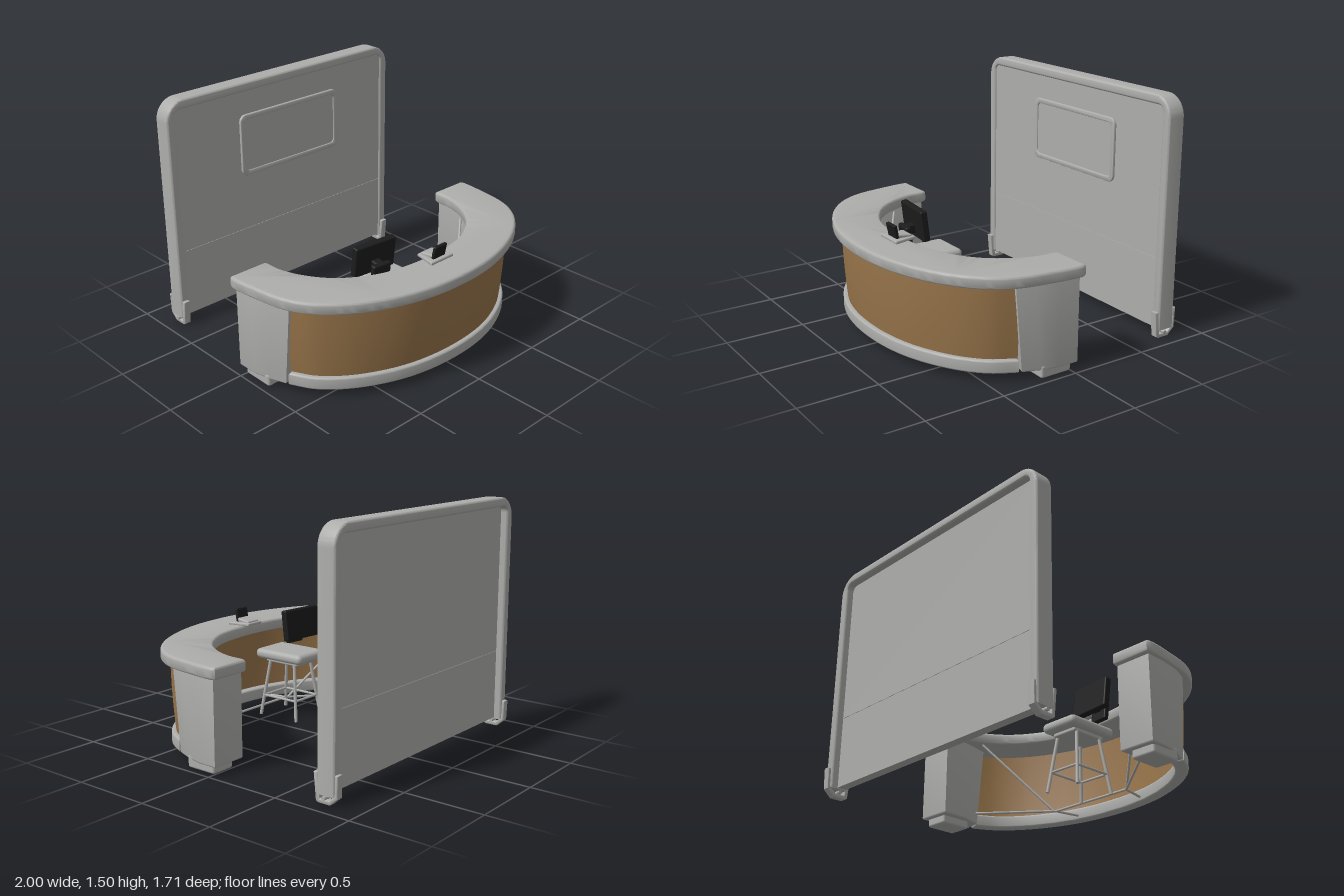
import * as THREE from 'three';
import { toCreasedNormals } from 'three/addons/utils/BufferGeometryUtils.js';
import { RoundedBoxGeometry } from 'three/addons/geometries/RoundedBoxGeometry.js';

const mat = (name, color) => Object.assign(new THREE.MeshStandardMaterial({ color }), { name });

export function createModel() {
  const root = new THREE.Group();
  root.name = 'receptionDesk';
  const grey = mat('lightGrey', 0xadadab);
  const wood = mat('woodBrown', 0x97744a);
  wood.side = THREE.DoubleSide;
  const black = mat('black', 0x1c1c1c);

  const add = (name, geo, material, parent = root) => {
    const m = new THREE.Mesh(geo, material);
    m.name = name;
    parent.add(m);
    return m;
  };
  const group = (name) => {
    const g = new THREE.Group();
    g.name = name;
    root.add(g);
    return g;
  };
  const box = (name, [w, h, d], [x, y, z], material, parent, r = 0.01) => {
    const m = add(name, new RoundedBoxGeometry(w, h, d, 3, r), material, parent);
    m.position.set(x, y, z);
    return m;
  };
  const rod = (name, a, b, r, parent) => {
    const p = new THREE.Vector3(...a), q = new THREE.Vector3(...b);
    const m = add(name, new THREE.CylinderGeometry(r, r, p.distanceTo(q), 10), grey, parent);
    m.position.copy(p).add(q).multiplyScalar(0.5);
    m.quaternion.setFromUnitVectors(new THREE.Vector3(0, 1, 0), q.sub(p).normalize());
    return m;
  };

  // Extrude a shape with rounded edges kept inside its outline
  const extrude = (shape, depth, bevel) => {
    const g = new THREE.ExtrudeGeometry(shape, {
      depth: depth - 2 * bevel, bevelEnabled: true, bevelThickness: bevel,
      bevelSize: bevel, bevelOffset: -bevel, bevelSegments: 4, curveSegments: 10,
    });
    g.translate(0, 0, bevel);
    return toCreasedNormals(g, 0.6);
  };
  // Plan outline in x and z, raised from y0 to y1
  const planSolid = (pts, y0, y1, bevel) => {
    const shape = new THREE.Shape(pts.map(([x, z]) => new THREE.Vector2(x, -z)));
    return extrude(shape, y1 - y0, bevel).rotateX(-Math.PI / 2).translate(0, y0, 0);
  };
  // Mirrored smooth curve running from +x round the front to -x
  const arc = (half, n) => {
    const all = [...half, ...half.slice(0, -1).reverse().map(([x, z]) => [-x, z])];
    const curve = new THREE.CatmullRomCurve3(all.map(([x, z]) => new THREE.Vector3(x, 0, z)), false, 'centripetal');
    return curve.getPoints(n).map((p) => [p.x, p.z]);
  };

  // Counter top
  const outer = arc([[0.99, -0.06], [1, -0.035], [0.985, 0.15], [0.945, 0.36], [0.87, 0.5],
    [0.75, 0.62], [0.6, 0.715], [0.4, 0.795], [0.2, 0.838], [0, 0.85]], 90);
  const inner = arc([[0.74, -0.06], [0.73, -0.04], [0.725, 0.06], [0.68, 0.2], [0.58, 0.35],
    [0.45, 0.45], [0.3, 0.515], [0, 0.55]], 70);
  add('counterTop', planSolid([...outer, ...inner.reverse()], 0.573, 0.648, 0.018), grey);

  // Curved front: wooden sheet and base rail share one line
  const front = arc([[0.903, 0.33], [0.83, 0.465], [0.72, 0.575], [0.58, 0.665], [0.39, 0.745],
    [0.2, 0.787], [0, 0.8]], 64);
  const inset = (d) => front.map(([x, z]) => {
    const l = Math.hypot(x, z);
    return [x * (1 - d / l), z * (1 - d / l)];
  });
  add('baseRail', planSolid([...front, ...inset(0.08).reverse()], 0.05, 0.13, 0.012), grey);
  const pos = [], idx = [], rows = 8, cols = front.length;
  for (let r = 0; r <= rows; r++) {
    const t = r / rows;
    const d = 0.004 + 0.026 * Math.pow(1 - t, 2);
    for (const [x, z] of inset(d)) pos.push(x, 0.11 + 0.48 * t, z);
  }
  for (let r = 0; r < rows; r++) {
    for (let c = 0; c < cols - 1; c++) {
      const a = r * cols + c, b = a + cols;
      idx.push(a, b, a + 1, a + 1, b, b + 1);
    }
  }
  const sheet = new THREE.BufferGeometry();
  sheet.setAttribute('position', new THREE.Float32BufferAttribute(pos, 3));
  sheet.setIndex(idx.reverse());
  sheet.computeVertexNormals();
  add('frontPanel', sheet, wood);

  // End pedestals with slanted front edge, feet and frame braces
  for (const s of [1, -1]) {
    const side = s > 0 ? 'left' : 'right';
    const plan = [[0.975, -0.03], [0.972, 0.1], [0.948, 0.23], [0.908, 0.335],
      [0.8, 0.31], [0.755, 0.15], [0.745, -0.03]].map(([x, z]) => [s * x, z]);
    if (s < 0) plan.reverse();
    const g = planSolid(plan, 0.05, 0.59, 0.012);
    const p = g.attributes.position;
    for (let i = 0; i < p.count; i++) {
      if (p.getZ(i) > 0.2) p.setZ(i, p.getZ(i) + (p.getY(i) - 0.3) * 0.09);
    }
    add(side + 'Pedestal', toCreasedNormals(g, 0.6), grey);
    box(side + 'PedestalFoot', [0.16, 0.08, 0.21], [s * 0.875, 0.04, 0.105], grey, root, 0.015);
    rod(side + 'LowerBrace', [s * 0.7, 0.08, 0.19], [s * 0.3, 0.08, 0.53], 0.008);
    rod(side + 'LowerTie', [s * 0.3, 0.08, 0.53], [s * 0.26, 0.08, 0.72], 0.008);
    rod(side + 'DiagonalBrace', [s * 0.68, 0.56, 0.22], [s * 0.31, 0.08, 0.52], 0.008);
  }
  rod('centreTie', [-0.3, 0.08, 0.53], [0.3, 0.08, 0.53], 0.008);

  // Back wall: arched frame around a thinner panel
  const wall = group('backWall');
  const f = new THREE.Shape();
  f.moveTo(0.91, 0.05);
  f.lineTo(0.91, 1.37);
  f.absarc(0.78, 1.37, 0.13, 0, Math.PI / 2);
  f.lineTo(-0.78, 1.5);
  f.absarc(-0.78, 1.37, 0.13, Math.PI / 2, Math.PI);
  f.lineTo(-0.91, 0.05);
  f.lineTo(-0.85, 0.05);
  f.lineTo(-0.85, 1.4);
  f.absarc(-0.81, 1.4, 0.04, Math.PI, Math.PI / 2, true);
  f.lineTo(0.81, 1.44);
  f.absarc(0.81, 1.4, 0.04, Math.PI / 2, 0, true);
  f.lineTo(0.85, 0.05);
  add('wallFrame', extrude(f, 0.12, 0.014).translate(0, 0, -0.835), grey, wall);
  const plate = (name, w, h, d, x, y, z) => {
    add(name, new THREE.BoxGeometry(w, h, d), grey, wall).position.set(x, y, z);
  };
  plate('upperWallPanel', 1.72, 0.937, 0.06, 0, 0.9765, -0.757);
  plate('lowerWallPanel', 1.72, 0.446, 0.06, 0, 0.281, -0.757);
  plate('wallSeam', 1.72, 0.006, 0.054, 0, 0.506, -0.757);

  // Screen with a raised rounded surround
  const rounded = (Kind, x0, y0, x1, y1, r) => {
    const k = new Kind();
    k.absarc(x1 - r, y1 - r, r, 0, Math.PI / 2);
    k.absarc(x0 + r, y1 - r, r, Math.PI / 2, Math.PI);
    k.absarc(x0 + r, y0 + r, r, Math.PI, Math.PI * 1.5);
    k.absarc(x1 - r, y0 + r, r, Math.PI * 1.5, Math.PI * 2);
    k.closePath();
    return k;
  };
  const surround = rounded(THREE.Shape, -0.375, 0.88, 0.44, 1.29, 0.045);
  surround.holes.push(rounded(THREE.Path, -0.342, 0.913, 0.407, 1.257, 0.03));
  add('screenSurround', extrude(surround, 0.022, 0.006).translate(0, 0, -0.732), grey, wall);
  plate('screen', 0.76, 0.355, 0.008, 0.0325, 1.085, -0.722);

  // U-shaped wall feet with pivot pins
  const u = new THREE.Shape([[0.69, 0.17], [0.705, 0.01], [0.72, 0], [0.80, 0], [0.85, 0.045], [0.855, 0.175],
    [0.835, 0.175], [0.832, 0.06], [0.795, 0.025], [0.73, 0.025], [0.715, 0.17]].map((q) => new THREE.Vector2(...q)));
  for (const x of [0.883, -0.883]) {
    const g = extrude(u, 0.046, 0.006).translate(0, 0, -0.023).rotateY(Math.PI / 2);
    add('wallFoot', g, grey, wall).position.x = x;
    rod('wallFootPin', [x - 0.035, 0.035, -0.765], [x + 0.035, 0.035, -0.765], 0.012, wall);
  }

  // Stool
  const stool = group('stool');
  stool.position.set(-0.105, 0, 0.32);
  box('stoolSeat', [0.27, 0.065, 0.38], [0, 0.46, 0], grey, stool, 0.03);
  box('stoolSeatBase', [0.18, 0.03, 0.26], [0, 0.42, 0], grey, stool);
  const corner = (i, y) => {
    const sx = i === 0 || i === 3 ? 1 : -1, sz = i < 2 ? 1 : -1;
    const k = (0.42 - y) / 0.37;
    return [sx * (0.08 + 0.045 * k), y, sz * (0.1 + 0.05 * k)];
  };
  for (let i = 0; i < 4; i++) {
    rod('stoolLeg', corner(i, 0.42), corner(i, 0.05), 0.011, stool);
    rod('stoolRung', corner(i, 0.18), corner((i + 1) % 4, 0.18), 0.008, stool);
  }

  // Monitor, turned and tilted toward the seat
  const monitor = group('monitor');
  monitor.position.set(-0.22, 0.645, 0.325);
  monitor.rotation.set(0.12, -0.1, 0, 'YXZ');
  box('monitorScreen', [0.3, 0.2, 0.045], [0, 0, 0], black, monitor);
  box('monitorArm', [0.06, 0.06, 0.06], [0.0, -0.04, 0.045], black, monitor);
  box('monitorMount', [0.13, 0.12, 0.035], [0, -0.07, 0.078], black, monitor);

  // Counter terminal with sloping base
  const terminal = group('terminal');
  const base = planSolid([[0.12, 0.655], [0.09, 0.51], [-0.035, 0.51], [-0.065, 0.655]].map(([x, z]) => [x, z]), 0.645, 0.665, 0.006);
  add('terminalBase', base, grey, terminal);
  const pad = box('terminalPad', [0.1, 0.025, 0.1], [0.027, 0.67, 0.572], grey, terminal);
  pad.rotation.x = -0.15;
  const display = box('terminalDisplay', [0.1, 0.1, 0.022], [0.027, 0.697, 0.625], black, terminal, 0.006);
  display.rotation.x = 0.2;

  return root;
}
